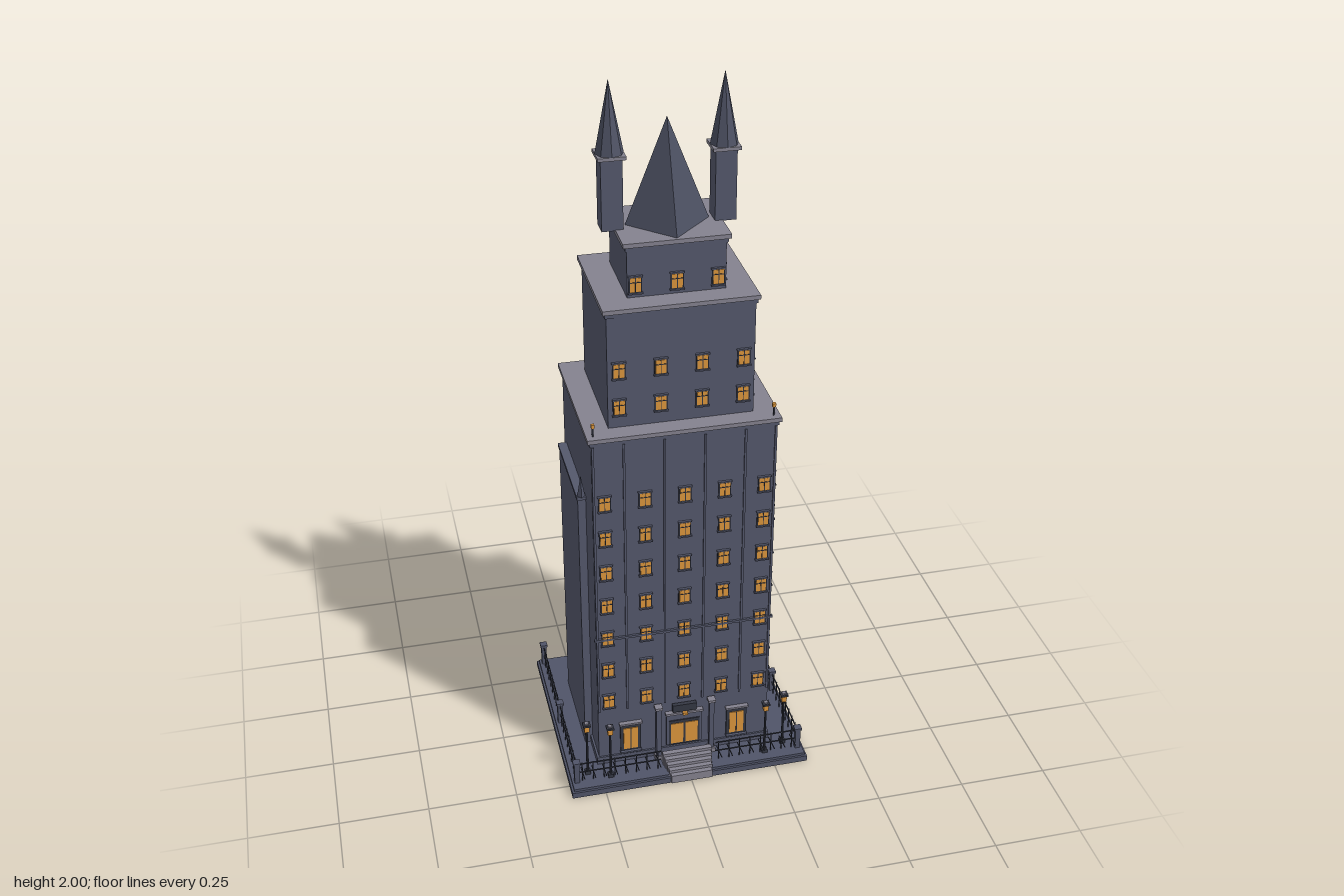
import * as THREE from 'three';

const mat = (name, color) => {
  const m = new THREE.MeshStandardMaterial({ color, flatShading: true });
  m.name = name;
  return m;
};

export function createModel() {
  const wall = mat('slate wall', 0x54586c);
  const base = mat('base slate', 0x505468);
  const spire = mat('spire slate', 0x4c5062);
  const ledge = mat('pale stone', 0x84828f);
  const dark = mat('dark iron', 0x343743);
  const glow = mat('lit glass', 0xdc963c);

  const model = new THREE.Group();
  model.name = 'tower';
  const CZ = -0.005; // depth centre of the building

  function add(parent, name, geo, material, x, y, z) {
    const m = new THREE.Mesh(geo, material);
    m.name = name;
    m.position.set(x, y, z);
    parent.add(m);
    return m;
  }
  // Box given by its size, centre x/z and bottom y
  const box = (parent, name, material, w, h, d, x, y, z) =>
    add(parent, name, new THREE.BoxGeometry(w, h, d), material, x, y + h / 2, z);
  const group = (name, parent = model) => {
    const g = new THREE.Group();
    g.name = name;
    parent.add(g);
    return g;
  };

  // Paved base
  box(model, 'base', base, 0.694, 0.018, 0.614, 0, 0, CZ);
  box(model, 'basePaving', base, 0.682, 0.008, 0.602, 0, 0.018, CZ);

  // Three stacked tiers, each with a cornice slab
  const tiers = [
    { w: 0.5, d: 0.414, y0: 0.026, y1: 1.108, cw: 0.52, cd: 0.43 },
    { w: 0.39, d: 0.326, y0: 1.12, y1: 1.45, cw: 0.41, cd: 0.342 },
    { w: 0.258, d: 0.218, y0: 1.462, y1: 1.602, cw: 0.28, cd: 0.236 },
  ];
  tiers.forEach((t, i) => {
    const g = group('tier' + (i + 1));
    box(g, 'walls', wall, t.w, t.y1 - t.y0, t.d, 0, t.y0, CZ);
    box(g, 'corniceBand', wall, t.w + 0.008, 0.012, t.d + 0.006, 0, t.y1 - 0.012, CZ);
    box(g, 'cornice', ledge, t.cw, 0.012, t.cd, 0, t.y1, CZ);
  });
  box(model, 'plinth', wall, 0.512, 0.024, 0.424, 0, 0.026, CZ);

  // Central pyramid roof
  add(model, 'pyramidRoof', new THREE.ConeGeometry(0.11, 0.28, 4), spire, 0, 1.754, CZ);

  // Corner turrets, side slabs and roof lamps, mirrored
  for (const s of [1, -1]) {
    const t = group(s > 0 ? 'leftTurret' : 'rightTurret');
    box(t, 'turretShaft', wall, 0.056, 0.19, 0.056, s * 0.147, 1.612, CZ);
    box(t, 'turretCap', ledge, 0.073, 0.009, 0.073, s * 0.147, 1.802, CZ);
    add(t, 'turretSpire', new THREE.ConeGeometry(0.037, 0.189, 8), spire, s * 0.147, 1.9055, CZ);

    const b = group(s > 0 ? 'leftSideSlab' : 'rightSideSlab');
    box(b, 'slab', wall, 0.025, 0.85, 0.28, s * 0.2595, 0.026, -0.036);
    box(b, 'slabCap', wall, 0.028, 0.01, 0.29, s * 0.261, 0.876, -0.036);
    add(b, 'pinnacle', new THREE.ConeGeometry(0.011, 0.065, 4), spire, s * 0.262, 0.918, 0.102);

    const r = group('roofLamp');
    box(r, 'post', dark, 0.004, 0.026, 0.004, s * 0.242, 1.12, 0.19);
    box(r, 'lamp', glow, 0.009, 0.01, 0.009, s * 0.242, 1.146, 0.19);
  }

  // Window facing +z, placed on the front or turned to the left side
  function windowAt(parent, x, y, z, side) {
    const g = group('window', parent);
    box(g, 'frame', dark, 0.034, 0.046, 0.004, 0, -0.023, 0.002);
    box(g, 'glass', glow, 0.028, 0.039, 0.002, 0, -0.0195, 0.0045);
    box(g, 'mullion', dark, 0.002, 0.039, 0.002, 0, -0.0195, 0.0058);
    box(g, 'transom', dark, 0.028, 0.002, 0.002, 0, 0.006, 0.0058);
    box(g, 'sill', wall, 0.038, 0.004, 0.009, 0, -0.025, 0.0045);
    box(g, 'lintel', wall, 0.038, 0.004, 0.007, 0, 0.021, 0.0035);
    g.position.set(x, y, z);
    if (side) g.rotation.y = Math.PI / 2;
  }
  const windows = group('windows');
  for (let row = 0; row < 7; row++) {
    const y = 0.252 + row * 0.111;
    for (let c = -2; c <= 2; c++) windowAt(windows, c * 0.109, y, 0.202, false);
    windowAt(windows, 0.25, y, 0.165, true);
  }
  for (const z of [0.052, -0.06, -0.172]) windowAt(windows, 0.25, 0.918, z, true);
  for (const y of [1.18, 1.287]) {
    for (const x of [-0.165, -0.055, 0.055, 0.165]) windowAt(windows, x, y, 0.158, false);
    for (const z of [0.118, -0.005, -0.128]) windowAt(windows, 0.195, y, z, true);
  }
  for (const x of [-0.108, 0, 0.108]) windowAt(windows, x, 1.498, 0.104, false);
  for (const z of [0.065, -0.075]) windowAt(windows, 0.129, 1.498, z, true);

  // Front ribs and belt course
  const ribs = group('frontRibs');
  for (const x of [-0.246, -0.164, -0.055, 0.055, 0.164, 0.246])
    box(ribs, 'rib', wall, 0.006, 0.88, 0.005, x, 0.215, 0.2035);
  box(ribs, 'beltCourse', wall, 0.51, 0.007, 0.008, 0, 0.468, 0.204);

  // Main entrance
  const door = group('entrance');
  box(door, 'doorSurround', wall, 0.104, 0.115, 0.01, 0, 0.06, 0.205);
  box(door, 'doorFrame', dark, 0.09, 0.088, 0.004, 0, 0.062, 0.211);
  for (const s of [1, -1]) {
    box(door, 'doorLeaf', glow, 0.036, 0.072, 0.003, s * 0.0215, 0.068, 0.2135);
    box(door, 'columnFoot', ledge, 0.022, 0.014, 0.022, s * 0.078, 0.026, 0.22);
    box(door, 'column', wall, 0.014, 0.17, 0.014, s * 0.078, 0.04, 0.22);
    box(door, 'columnCap', ledge, 0.022, 0.008, 0.022, s * 0.078, 0.21, 0.22);
  }
  box(door, 'doorLintel', ledge, 0.11, 0.007, 0.014, 0, 0.173, 0.21);
  box(door, 'signBoard', dark, 0.07, 0.024, 0.012, 0, 0.185, 0.212);
  box(door, 'entranceLamp', glow, 0.014, 0.008, 0.01, 0, 0.177, 0.222);

  // Tall ground-floor windows either side
  for (const s of [1, -1]) {
    const g = group('groundWindow');
    box(g, 'surround', dark, 0.06, 0.1, 0.006, s * 0.157, 0.06, 0.204);
    box(g, 'glass', glow, 0.042, 0.075, 0.003, s * 0.157, 0.07, 0.208);
    box(g, 'mullion', dark, 0.003, 0.075, 0.003, s * 0.157, 0.07, 0.209);
    box(g, 'lintel', ledge, 0.066, 0.006, 0.014, s * 0.157, 0.16, 0.208);
    box(g, 'sill', wall, 0.062, 0.005, 0.014, s * 0.157, 0.058, 0.208);
  }

  // Entrance steps, narrowing towards the street
  const steps = group('steps');
  for (let i = 0; i < 5; i++) {
    const z1 = 0.255 + i * 0.01375;
    box(steps, 'step', ledge, 0.144 - i * 0.006, 0.062 - i * 0.009, z1 - 0.24, 0, 0.004, (z1 + 0.24) / 2);
  }

  // Fence: pillars, rails and pickets
  const fence = group('fence');
  for (const s of [1, -1]) {
    const x = s * 0.327;
    for (const z of [-0.29, CZ, 0.263]) {
      box(fence, 'pillar', base, 0.015, 0.068, 0.015, x, 0.024, z);
      box(fence, 'pillarCap', base, 0.021, 0.007, 0.021, x, 0.092, z);
    }
    for (const y of [0.056, 0.086]) {
      box(fence, 'sideRail', dark, 0.003, 0.003, 0.54, x, y, -0.012);
      box(fence, 'frontRail', dark, 0.245, 0.003, 0.003, s * 0.203, y, 0.262);
    }
    for (let i = 0; i < 17; i++)
      box(fence, 'sidePicket', dark, 0.0025, 0.07, 0.0025, x, 0.025, -0.265 + i * 0.0315);
    for (let i = 0; i < 8; i++) {
      const px = s * (0.09 + i * 0.0315);
      box(fence, 'frontPicket', dark, 0.0025, 0.066, 0.0025, px, 0.025, 0.262);
      const rod = box(fence, 'slantedPicket', dark, 0.0025, 0.0025, 0.062, px, 0.058, 0.27);
      rod.rotation.x = -0.15;
    }
  }

  // Street lamps
  for (const [x, z] of [[0.29, 0.235], [-0.29, 0.235], [0.228, 0.262], [-0.228, 0.262]]) {
    const g = group('streetLamp');
    box(g, 'foot', dark, 0.016, 0.012, 0.016, x, 0.025, z);
    add(g, 'pole', new THREE.CylinderGeometry(0.003, 0.004, 0.148, 8), dark, x, 0.108, z);
    box(g, 'lantern', glow, 0.014, 0.02, 0.014, x, 0.182, z);
    box(g, 'lanternCap', dark, 0.021, 0.006, 0.021, x, 0.202, z);
    box(g, 'lanternTop', ledge, 0.011, 0.004, 0.011, x, 0.208, z);
  }

  return model;
}
